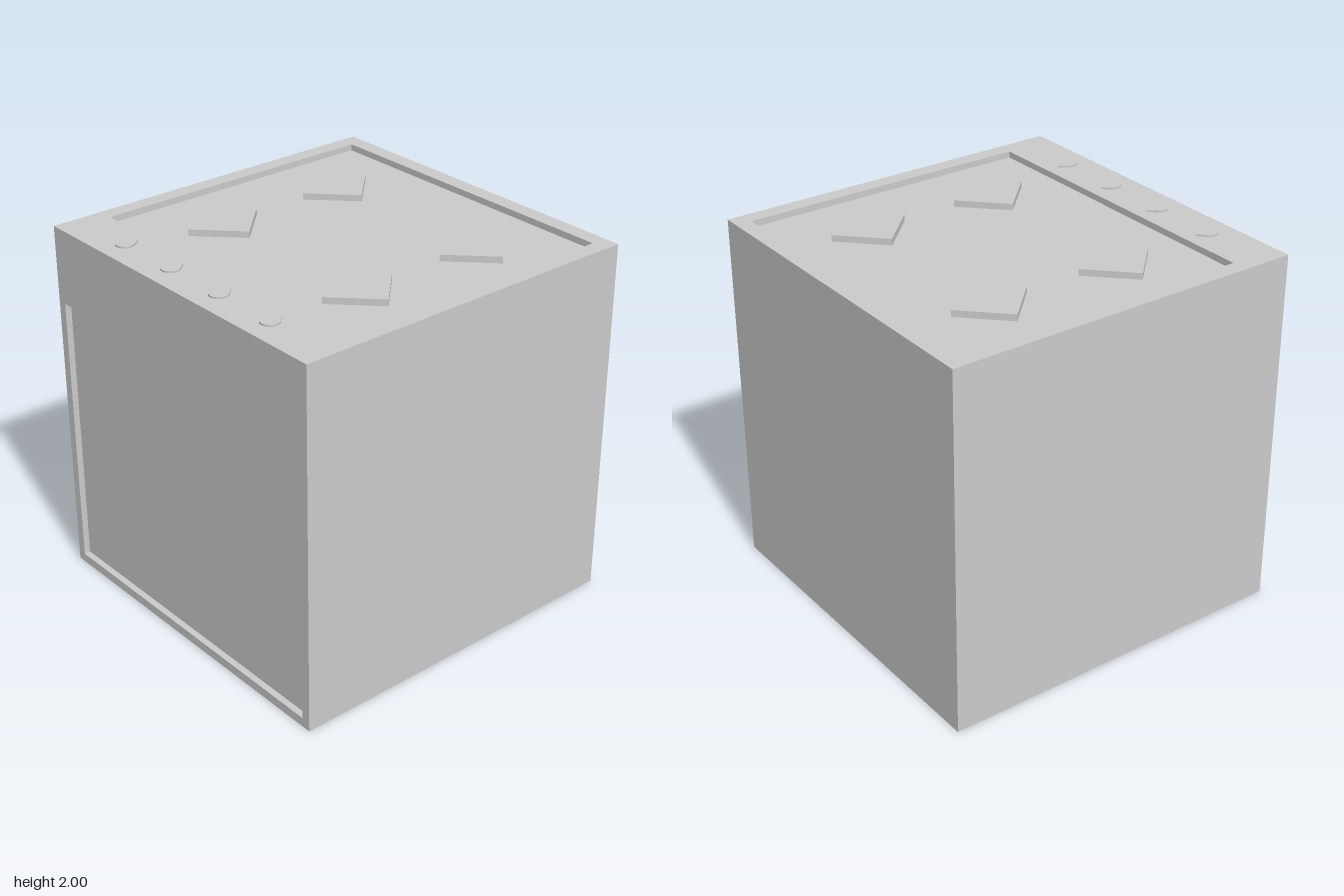
import * as THREE from 'three';
import { mergeGeometries } from 'three/addons/utils/BufferGeometryUtils.js';

const material = new THREE.MeshStandardMaterial({ color: 0xcccccc, flatShading: true });
const W = 1.99;      // body edge length
const H = W / 2;
const DEPTH = 0.035; // depth of the sunken panels

function mesh(name, geometry) {
  const m = new THREE.Mesh(geometry, material);
  m.name = name;
  return m;
}

// Square cube side facing +z, optionally with a sunken rectangular panel [x0, y0, x1, y1]
function cubeSide(recess) {
  const shape = new THREE.Shape([[-H, -H], [H, -H], [H, H], [-H, H]].map(p => new THREE.Vector2(...p)));
  if (!recess) return new THREE.ShapeGeometry(shape).translate(0, 0, H);
  const [x0, y0, x1, y1] = recess;
  shape.holes.push(new THREE.Path([[x0, y0], [x0, y1], [x1, y1], [x1, y0]].map(p => new THREE.Vector2(...p))));

  // Tray: a box without its +z lid, turned inside out
  const tray = new THREE.BoxGeometry(x1 - x0, y1 - y0, DEPTH);
  const index = Array.from(tray.index.array);
  index.splice(24, 6);
  tray.setIndex(index.reverse());
  tray.clearGroups();
  tray.computeVertexNormals();
  tray.translate((x0 + x1) / 2, (y0 + y1) / 2, -DEPTH / 2);

  return mergeGeometries([new THREE.ShapeGeometry(shape), tray]).translate(0, 0, H);
}

// Teardrop control knob with its pointer towards +x
function knobGeometry(tipOffset) {
  const r = 0.05, a = 0.9;
  const shape = new THREE.Shape();
  shape.moveTo(0.073, tipOffset);
  shape.lineTo(r * Math.cos(a), r * Math.sin(a));
  shape.absarc(0, 0, r, a, Math.PI * 2 - a, false);
  shape.closePath();
  return new THREE.ExtrudeGeometry(shape, { depth: 0.012, bevelEnabled: false, curveSegments: 10 })
    .rotateX(-Math.PI / 2);
}

export function createModel() {
  const model = new THREE.Group();
  model.name = 'stove';

  // Body: cube with a sunken hob on top and a sunken door on the knob side
  const q = Math.PI / 2;
  const body = mergeGeometries([
    cubeSide(),
    cubeSide().rotateY(q),
    cubeSide().rotateY(Math.PI),
    cubeSide().rotateX(q),
    cubeSide([-0.715, -0.907, 0.907, 0.907]).rotateX(-q),
    cubeSide([-0.945, 0.05 - H, 0.945, 1.575 - H]).rotateY(-q),
  ]).translate(0, H, 0);
  model.add(mesh('body', body));

  // Four square burners turned by 45 degrees
  const side = 0.218 * Math.SQRT2;
  for (const x of [-0.29, 0.455]) {
    for (const z of [-0.52, 0.52]) {
      const burner = mesh('burner', new THREE.BoxGeometry(side, DEPTH, side));
      burner.rotation.y = Math.PI / 4;
      burner.position.set(x, W - DEPTH / 2, z);
      model.add(burner);
    }
  }

  // Row of knobs, pointers leaning slightly towards the middle
  for (const z of [-0.57, -0.19, 0.19, 0.57]) {
    const knob = mesh('knob', knobGeometry(z * 0.014));
    knob.position.set(-0.855, W - 0.002, z);
    model.add(knob);
  }

  return model;
}
